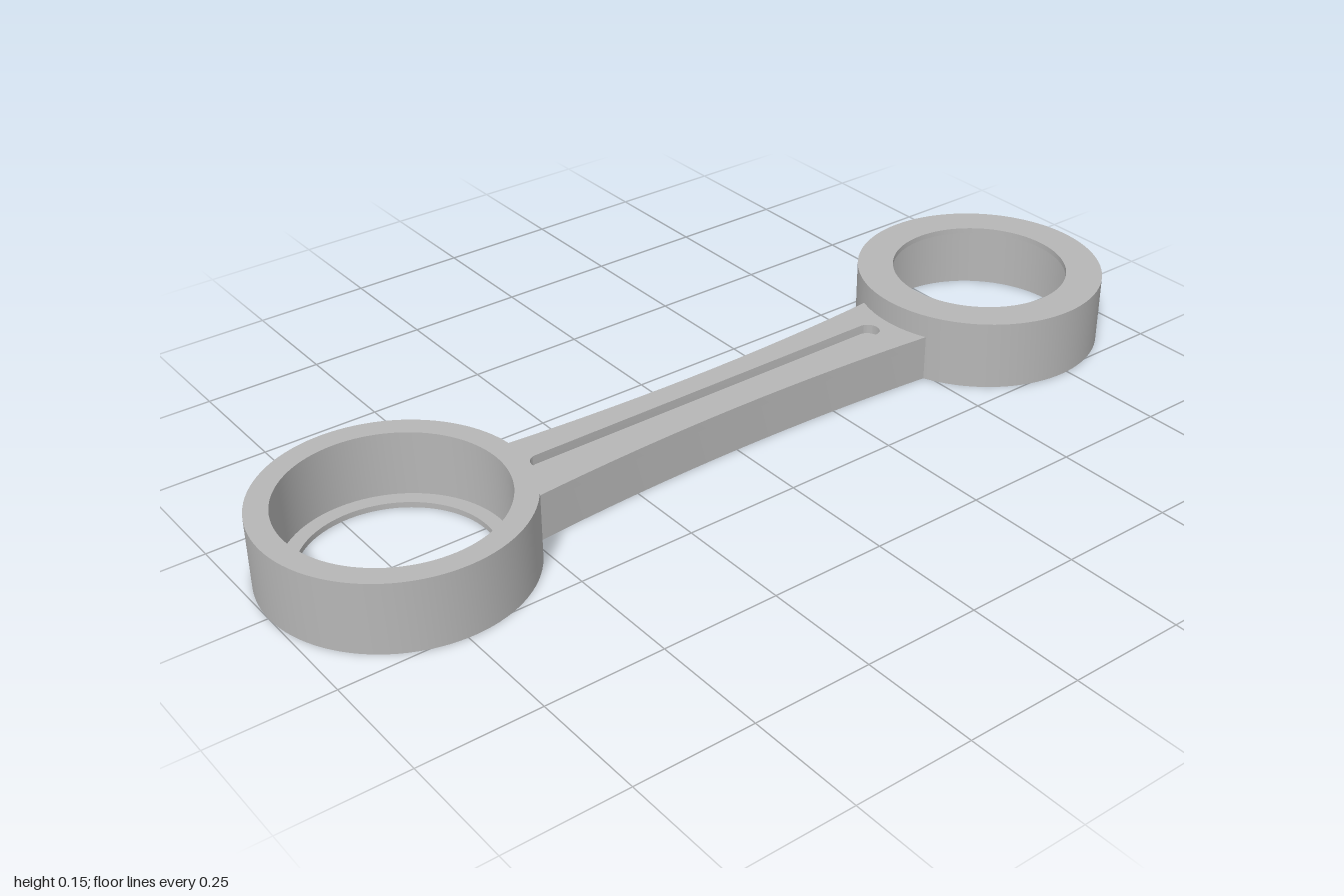
import * as THREE from 'three';
import { toCreasedNormals } from 'three/addons/utils/BufferGeometryUtils.js';

const R = 0.265, BORE = 0.219, HOLE = 0.188; // ring outer, seat and lip radii
const H = 0.15, LIP = 0.012, RING_Z = 0.735;
const ROD_H = 0.1, SLOT_DEPTH = 0.02, ROD_END = 0.5;

export function createModel() {
  const group = new THREE.Group();
  const steel = new THREE.MeshStandardMaterial({ color: 0xb6b6b6 });
  steel.name = 'grey steel';

  const add = (name, geometry, y = 0, z = 0) => {
    const mesh = new THREE.Mesh(toCreasedNormals(geometry, 0.5), steel);
    mesh.name = name;
    mesh.position.set(0, y, z);
    group.add(mesh);
  };

  // Ring with a stepped bore, the profile running up the outside and down the inside
  const ring = (inner) => new THREE.LatheGeometry(
    [[R, 0], [R, H], ...inner, [R, 0]].map(([x, y]) => new THREE.Vector2(x, y)), 96);

  // The front seat opens upward, the back seat opens downward
  add('frontRing', ring([[BORE, H], [BORE, LIP], [HOLE, LIP], [HOLE, 0]]), 0, RING_Z);
  add('backRing', ring([[HOLE, H], [HOLE, H - LIP], [BORE, H - LIP], [BORE, 0]]), 0, -RING_Z);

  // Waisted rod outline, narrowest in the middle
  const rodShape = () => {
    const right = [], left = [], n = 16;
    for (let i = 0; i <= n; i++) {
      const t = (i / n) * 2 - 1;
      const w = 0.075 + 0.023 * t * t;
      right.push(new THREE.Vector2(w, t * ROD_END));
      left.unshift(new THREE.Vector2(-w, t * ROD_END));
    }
    return new THREE.Shape([...right, ...left]);
  };

  const extrudeUp = (shape, depth) => new THREE.ExtrudeGeometry(shape,
    { depth, bevelEnabled: false, curveSegments: 12 }).rotateX(-Math.PI / 2);

  // Solid lower layer, whose top is the slot floor
  add('rodBase', extrudeUp(rodShape(), ROD_H - SLOT_DEPTH));

  // Upper layer cut by a long round-ended slot
  const top = rodShape(), slot = new THREE.Path(), r = 0.024, s = 0.413;
  slot.absarc(0, s, r, 0, Math.PI, false);
  slot.absarc(0, -s, r, Math.PI, Math.PI * 2, false);
  slot.closePath();
  top.holes.push(slot);
  add('slottedRodTop', extrudeUp(top, SLOT_DEPTH), ROD_H - SLOT_DEPTH);

  return group;
}
